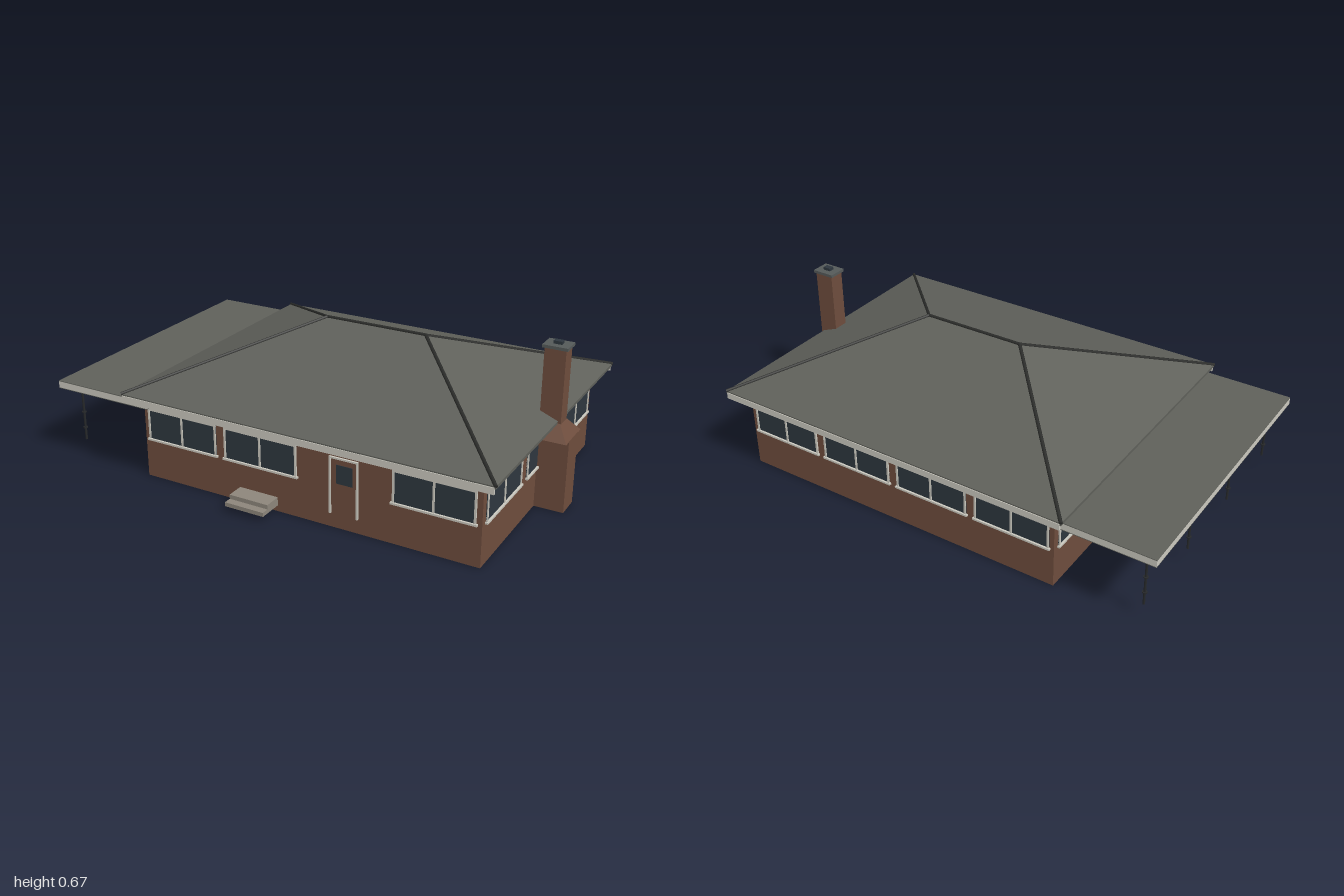
import * as THREE from 'three';
import { ConvexGeometry } from 'three/addons/geometries/ConvexGeometry.js';

const mat = (name, color) => {
  const m = new THREE.MeshStandardMaterial({ color });
  m.name = name;
  return m;
};

export function createModel() {
  const brick = mat('brick', 0x6e4d3d);
  const roofing = mat('roofing', 0x5f605a);
  const ridgeDark = mat('ridge dark', 0x2b2c2a);
  const trim = mat('trim', 0xcbc9bf);
  const glass = mat('glass', 0x2e373f);
  const stone = mat('stone', 0x8d867b);
  const capGrey = mat('cap grey', 0x555a59);
  const metal = mat('post metal', 0x26282a);

  const house = new THREE.Group();
  house.name = 'house';

  const add = (parent, name, geometry, material) => {
    const mesh = new THREE.Mesh(geometry, material);
    mesh.name = name;
    parent.add(mesh);
    return mesh;
  };
  // box given by its lower and upper limits on each axis
  const box = (parent, name, material, x0, x1, y0, y1, z0, z1) => {
    const mesh = add(parent, name, new THREE.BoxGeometry(x1 - x0, y1 - y0, z1 - z0), material);
    mesh.position.set((x0 + x1) / 2, (y0 + y1) / 2, (z0 + z1) / 2);
    return mesh;
  };
  const hull = (parent, name, material, points) =>
    add(parent, name, new ConvexGeometry(points.map(p => new THREE.Vector3(...p))), material);
  const rect = (x0, x1, y, z0, z1) => [[x0, y, z0], [x1, y, z0], [x1, y, z1], [x0, y, z1]];

  // walls
  const X0 = -0.58, X1 = 0.88, Z0 = -0.59, Z1 = 0.557;
  box(house, 'walls', brick, X0, X1, 0, 0.357, Z0, Z1);

  // hipped roof
  const RX0 = -0.645, RX1 = 0.945, RZ0 = -0.66, RZ1 = 0.618, midZ = -0.021;
  const ridge = [[-0.07, 0.595, midZ], [0.375, 0.595, midZ]];
  hull(house, 'roof', roofing, [
    ...rect(RX0, RX1, 0.355, RZ0, RZ1), ...rect(RX0, RX1, 0.367, RZ0, RZ1), ...ridge,
  ]);

  // ridge and hip caps
  const bar = (name, a, b, r) => {
    const p = new THREE.Vector3(...a), q = new THREE.Vector3(...b);
    const m = add(house, name, new THREE.CylinderGeometry(r, r, p.distanceTo(q), 6), ridgeDark);
    m.position.copy(p).add(q).multiplyScalar(0.5);
    m.quaternion.setFromUnitVectors(new THREE.Vector3(0, 1, 0), q.sub(p).normalize());
  };
  bar('ridgeCap', ridge[0], ridge[1], 0.007);
  for (const z of [RZ0, RZ1]) {
    bar('hipCap', [RX0, 0.367, z], ridge[0], 0.007);
    bar('hipCap', [RX1, 0.367, z], ridge[1], 0.007);
  }

  // front and back gutters
  box(house, 'frontGutter', trim, -0.64, 0.94, 0.335, 0.362, RZ1 - 0.006, RZ1 + 0.003);
  box(house, 'backGutter', trim, -0.64, 0.94, 0.335, 0.362, RZ0 - 0.003, RZ0 + 0.006);

  // two-pane window, centred on its own origin and facing +z
  const W = 0.326, H = 0.138, T = 0.008;
  const makeWindow = (x, z, turn) => {
    const g = new THREE.Group();
    g.name = 'window';
    box(g, 'glass', glass, -W / 2, W / 2, -H / 2, H / 2, -0.004, 0.003);
    for (const s of [-W / 2 + T / 2, 0, W / 2 - T / 2])
      box(g, 'upright', trim, s - T / 2, s + T / 2, -H / 2, H / 2, -0.004, 0.007);
    box(g, 'head', trim, -W / 2, W / 2, H / 2 - T, H / 2, -0.004, 0.007);
    box(g, 'sill', trim, -W / 2 - 0.006, W / 2 + 0.006, -H / 2, -H / 2 + T, -0.004, 0.011);
    g.position.set(x, 0.234, z);
    g.rotation.y = turn;
    house.add(g);
  };
  for (const x of [-0.397, -0.033, 0.695]) makeWindow(x, Z1, 0);
  for (const x of [-0.397, -0.033, 0.331, 0.695]) makeWindow(x, Z0, Math.PI);
  for (const z of [0.364, -0.018, -0.398]) {
    makeWindow(X1, z, Math.PI / 2);
    makeWindow(X0, z, -Math.PI / 2);
  }

  // front door
  box(house, 'door', brick, 0.28, 0.385, 0.06, 0.288, Z1 - 0.004, Z1 + 0.003);
  box(house, 'doorGlass', glass, 0.302, 0.37, 0.188, 0.265, Z1, Z1 + 0.005);
  for (const x of [0.272, 0.386])
    box(house, 'doorJamb', trim, x, x + 0.007, 0.06, 0.295, Z1 - 0.004, Z1 + 0.008);
  box(house, 'doorHead', trim, 0.272, 0.393, 0.288, 0.295, Z1 - 0.004, Z1 + 0.008);

  // front steps
  box(house, 'lowerStep', stone, -0.13, 0.042, 0.025, 0.042, Z1, 0.662);
  box(house, 'upperStep', stone, -0.13, 0.042, 0.042, 0.06, Z1, 0.63);

  // chimney with flared shoulder
  box(house, 'chimneyBase', brick, 0.875, 1, 0, 0.302, -0.069, 0.033);
  hull(house, 'chimneyShoulder', brick, [
    ...rect(0.875, 1, 0.3, -0.1, 0.064), ...rect(0.875, 0.955, 0.357, -0.051, 0.016),
  ]);
  box(house, 'chimneyStack', brick, 0.873, 0.957, 0.34, 0.652, -0.051, 0.015);
  box(house, 'chimneyCap', capGrey, 0.865, 0.965, 0.65, 0.662, -0.057, 0.022);
  box(house, 'flue', glass, 0.898, 0.932, 0.66, 0.674, -0.03, -0.006);

  // carport roof with light edges
  const carport = new THREE.Group();
  carport.name = 'carport';
  house.add(carport);
  box(carport, 'carportEdge', trim, -1, -0.545, 0.311, 0.338, -0.626, 0.586);
  box(carport, 'carportDeck', roofing, -1, -0.545, 0.338, 0.341, -0.626, 0.586);
  box(carport, 'carportCeiling', roofing, -1, -0.545, 0.308, 0.311, -0.626, 0.586);

  // carport posts with small collars
  for (let i = 0; i < 4; i++) {
    const z = -0.56 + i * 0.361;
    const post = add(carport, 'post', new THREE.CylinderGeometry(0.005, 0.005, 0.247, 8), metal);
    post.position.set(-0.935, 0.188, z);
    for (const y of [0.12, 0.19]) {
      const collar = add(carport, 'postCollar', new THREE.CylinderGeometry(0.01, 0.01, 0.005, 8), metal);
      collar.position.set(-0.935, y, z);
    }
  }
  return house;
}
